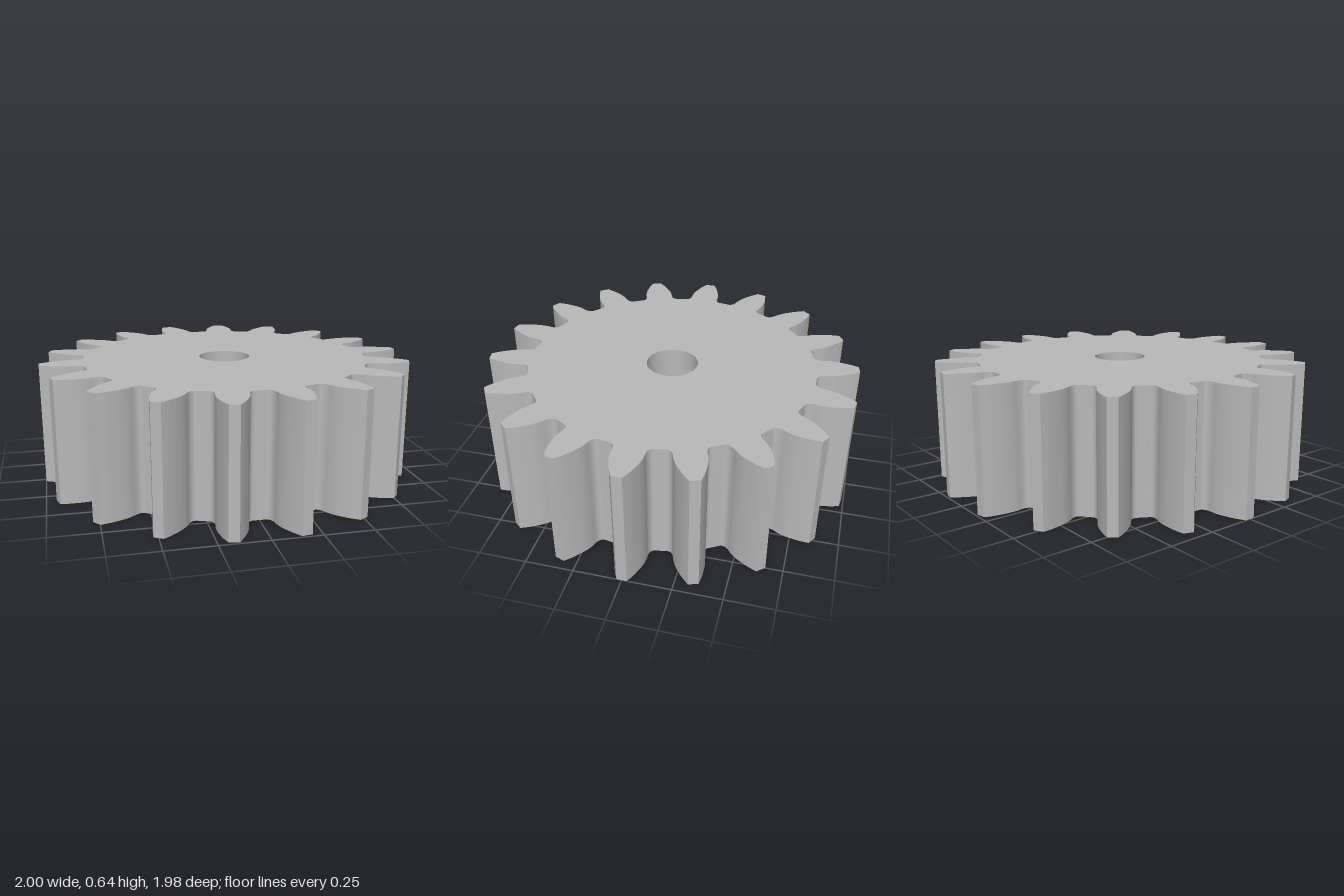
import * as THREE from 'three';
import { toCreasedNormals } from 'three/addons/utils/BufferGeometryUtils.js';

const TEETH = 18, HEIGHT = 0.645, BORE = 0.138, COUNTERBORE = 0.265, LEDGE = 0.42, SEG = 48;

// Upper half of one tooth lying along +x, from tip corner to gap floor
const flank = new THREE.SplineCurve([
  [1, 0.026], [0.96, 0.046], [0.92, 0.061], [0.88, 0.073], [0.84, 0.079],
  [0.805, 0.079], [0.782, 0.085], [0.769, 0.098], [0.766, 0.112],
].map(([x, y]) => new THREE.Vector2(x, y))).getPoints(24);

// Whole gear outline, counter-clockwise
function gearOutline() {
  const tooth = [...flank.map(p => new THREE.Vector2(p.x, -p.y)).reverse(), ...flank];
  const points = [];
  for (let i = 0; i < TEETH; i++) {
    const turn = (i * Math.PI * 2) / TEETH;
    for (const p of tooth) points.push(p.clone().rotateAround(new THREE.Vector2(), turn));
  }
  return points;
}

// Upright wall that follows the outline
function wallGeometry(points) {
  const pos = [];
  points.forEach((a, i) => {
    const b = points[(i + 1) % points.length];
    pos.push(a.x, 0, -a.y, b.x, 0, -b.y, b.x, HEIGHT, -b.y);
    pos.push(a.x, 0, -a.y, b.x, HEIGHT, -b.y, a.x, HEIGHT, -a.y);
  });
  const g = new THREE.BufferGeometry();
  g.setAttribute('position', new THREE.Float32BufferAttribute(pos, 3));
  return toCreasedNormals(g, 0.6);
}

// Flat gear face with a round hole
function faceGeometry(points, radius) {
  const shape = new THREE.Shape(points);
  const circle = [];
  for (let i = 0; i < SEG; i++) {
    const a = (-i * Math.PI * 2) / SEG;
    circle.push(new THREE.Vector2(Math.cos(a) * radius, Math.sin(a) * radius));
  }
  shape.holes.push(new THREE.Path(circle));
  return new THREE.ShapeGeometry(shape);
}

export function createModel() {
  const group = new THREE.Group();
  group.name = 'spurGear';
  const steel = new THREE.MeshStandardMaterial({ color: 0xb8b8b8 });
  steel.name = 'steel grey';
  const add = (name, geometry) => {
    const mesh = new THREE.Mesh(geometry, steel);
    mesh.name = name;
    group.add(mesh);
  };

  const outline = gearOutline();
  add('teeth', wallGeometry(outline));
  add('topFace', faceGeometry(outline, BORE).rotateX(-Math.PI / 2).translate(0, HEIGHT, 0));
  add('bottomFace', faceGeometry(outline, COUNTERBORE).rotateX(Math.PI / 2));

  // Stepped shaft hole: narrow above, wide below
  const bore = [[BORE, HEIGHT], [BORE, LEDGE], [COUNTERBORE, LEDGE], [COUNTERBORE, 0]]
    .map(([x, y]) => new THREE.Vector2(x, y));
  add('shaftBore', toCreasedNormals(new THREE.LatheGeometry(bore, SEG), 0.6));
  return group;
}
